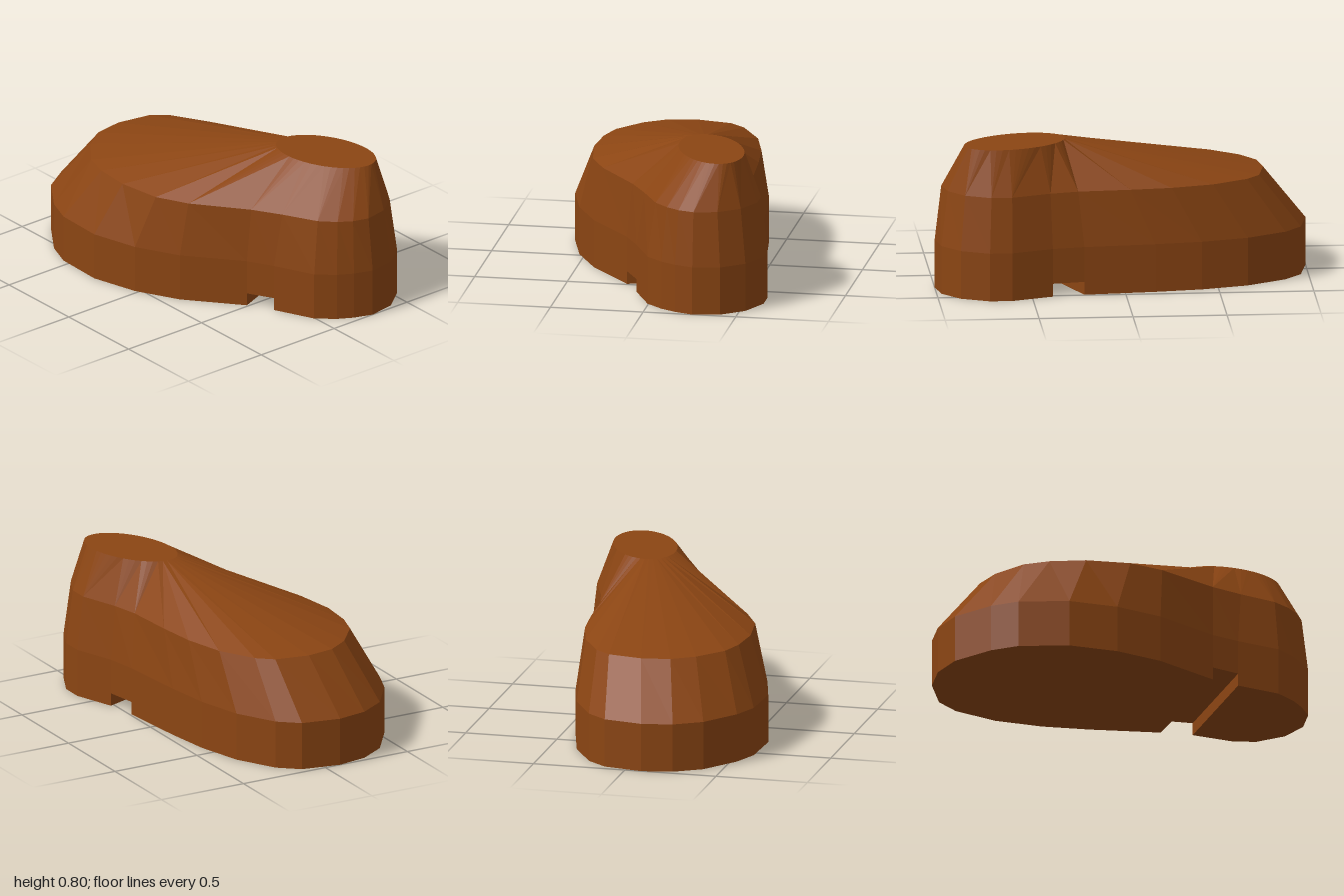
import * as THREE from 'three';

// Paired outlines, clockwise from the back: base x, z and shoulder x, z
const OUTLINE = [
  [-0.09, -1.0, -0.03, -0.77], [0.12, -0.96, 0.155, -0.735], [0.23, -0.87, 0.24, -0.665],
  [0.35, -0.66, 0.35, -0.475], [0.42, -0.41, 0.41, -0.25], [0.455, -0.16, 0.435, -0.03],
  [0.49, 0.22, 0.455, 0.25], [0.52, 0.39, 0.49, 0.4], [0.6, 0.61, 0.565, 0.61],
  [0.6, 0.73, 0.565, 0.72], [0.53, 0.88, 0.5, 0.855], [0.41, 0.975, 0.39, 0.94],
  [0.265, 1.0, 0.265, 0.965], [0.165, 0.965, 0.18, 0.94], [0.085, 0.92, 0.11, 0.895],
  [-0.005, 0.84, 0.035, 0.82], [-0.105, 0.625, -0.06, 0.64], [-0.18, 0.49, -0.15, 0.49],
  [-0.41, 0.21, -0.36, 0.22], [-0.53, -0.02, -0.445, 0.05], [-0.6, -0.275, -0.48, -0.185],
  [-0.59, -0.545, -0.465, -0.38], [-0.535, -0.69, -0.425, -0.515],
  [-0.4, -0.88, -0.305, -0.665], [-0.255, -0.97, -0.185, -0.745],
];
const N = OUTLINE.length;
const GROOVE = 0.07;

const baseRing = (y) => OUTLINE.map(([x, z]) => new THREE.Vector3(x, y, z));

// Tilted ellipse running the same way round as the outline
function ellipseRing(count) {
  const tilt = Math.PI / 8, s = Math.sin(tilt), c = Math.cos(tilt);
  return Array.from({ length: count }, (_, k) => {
    const t = (k / count) * Math.PI * 2;
    const u = 0.287 * Math.cos(t), v = 0.168 * Math.sin(t);
    return new THREE.Vector3(0.292 - u * s + v * c, 0.795, 0.577 - u * c - v * s);
  });
}

// Unshared corners give flat facets
function facets(points) {
  const geometry = new THREE.BufferGeometry().setFromPoints(points);
  geometry.computeVertexNormals();
  return geometry;
}

// Straight wall between two rings with equal counts
function wall(low, high) {
  const tris = [];
  for (let i = 0; i < N; i++) {
    const j = (i + 1) % N;
    tris.push(low[i], high[i], high[j], low[i], high[j], low[j]);
  }
  return facets(tris);
}

// Sloping skin joining each shoulder corner to the nearest stretch of the ellipse
function slope(ring, top) {
  const M = top.length, tris = [];
  const at = (k) => top[k % M];
  let start = 0;
  top.forEach((p, k) => {
    if (p.distanceTo(ring[0]) < top[start].distanceTo(ring[0])) start = k;
  });
  let k = start;
  for (let i = 1; i <= N; i++) {
    const a = ring[i - 1], b = ring[i % N];
    tris.push(a, at(k), b);
    while (k < start + M && (i === N || at(k + 1).distanceTo(b) < at(k).distanceTo(b))) {
      tris.push(b, at(k), at(k + 1));
      k++;
    }
  }
  return facets(tris);
}

// Bottom slab on one side of the groove
function slab(points) {
  const shape = new THREE.Shape(points.map(([x, z]) => new THREE.Vector2(x, z)));
  const geometry = new THREE.ExtrudeGeometry(shape, { depth: GROOVE, bevelEnabled: false });
  return geometry.rotateX(Math.PI / 2).translate(0, GROOVE, 0);
}

export function createModel() {
  const group = new THREE.Group();
  const brown = new THREE.MeshStandardMaterial({ color: 0x8b4513 });
  brown.name = 'brown';
  const add = (name, geometry) => {
    const mesh = new THREE.Mesh(geometry, brown);
    mesh.name = name;
    group.add(mesh);
  };

  const low = baseRing(GROOVE), middle = baseRing(0.26);
  const shoulder = OUTLINE.map(([, , x, z]) => new THREE.Vector3(x, 0.555, z));
  const top = ellipseRing(48);

  // Body from the groove upwards
  add('lowerWall', wall(low, middle));
  add('upperWall', wall(middle, shoulder));
  add('slope', slope(shoulder, top));
  const centre = new THREE.Vector3(0.292, 0.795, 0.577);
  add('topFace', facets(top.flatMap((p, k) => [centre, top[(k + 1) % top.length], p])));

  // Underside with a groove running across it
  add('rearFoot', slab([...OUTLINE.slice(17), ...OUTLINE.slice(0, 7)]));
  add('frontFoot', slab(OUTLINE.slice(7, 17)));
  add('grooveCeiling', facets([low[6], low[7], low[16], low[6], low[16], low[17]]));

  return group;
}
